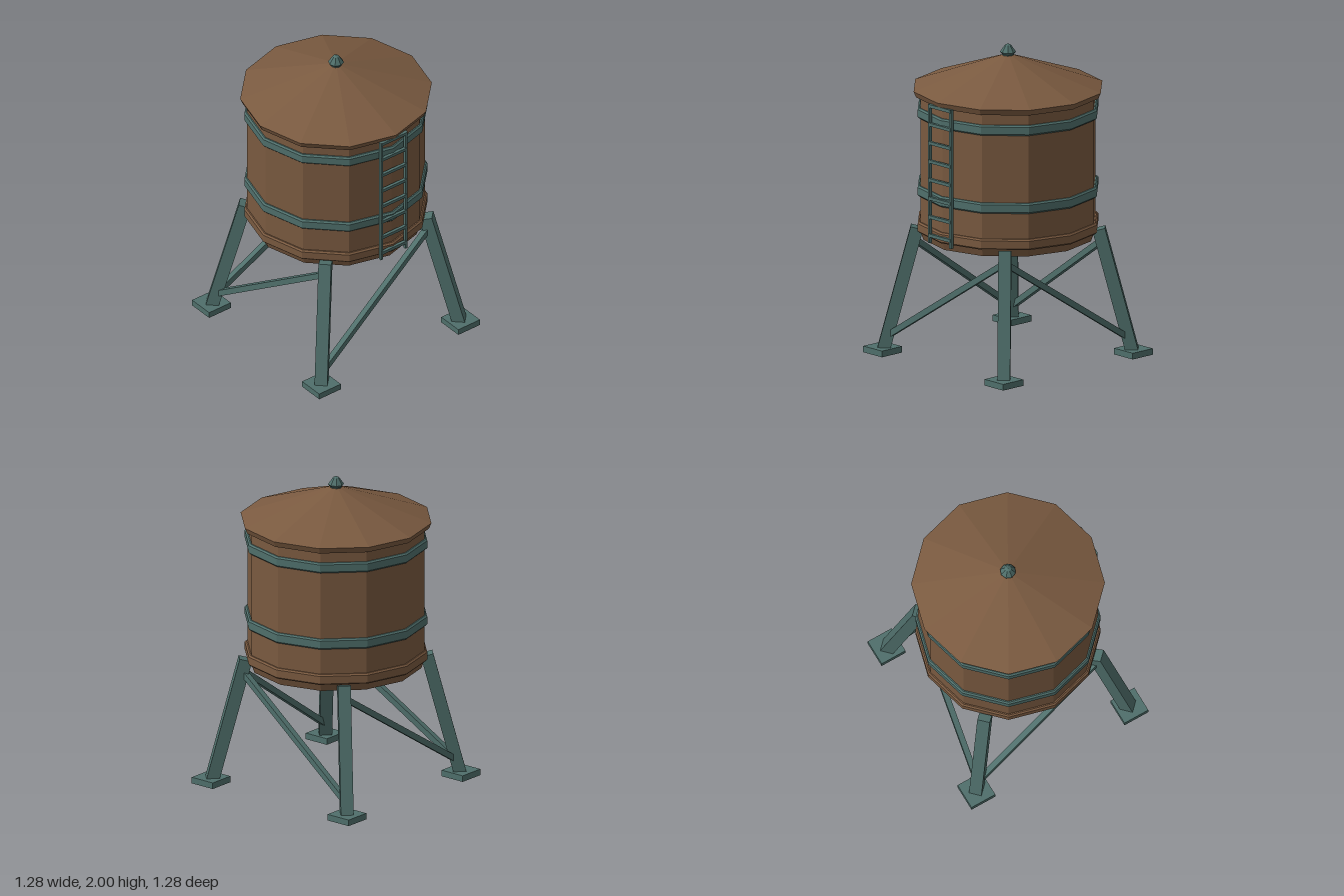
import * as THREE from 'three';

const wood = new THREE.MeshStandardMaterial({ color: 0x7a5a40, flatShading: true });
wood.name = 'brown wood';
const steel = new THREE.MeshStandardMaterial({ color: 0x4f6f6b, flatShading: true });
steel.name = 'teal steel';

const SIDES = 12;

function add(parent, name, geometry, material) {
  const mesh = new THREE.Mesh(geometry, material);
  mesh.name = name;
  parent.add(mesh);
  return mesh;
}

// faceted solid of revolution from [radius, height] pairs, bottom to top
function turned(parent, name, profile, material, sides = SIDES) {
  const points = profile.map(([r, y]) => new THREE.Vector2(r, y));
  return add(parent, name, new THREE.LatheGeometry(points, sides), material);
}

// chamfered ring around the tank
function hoop(parent, name, y0, y1, material) {
  const r = 0.578, c = 0.01;
  turned(parent, name, [[0.545, y0], [r - c, y0], [r, y0 + c], [r, y1 - c], [r - c, y1], [0.545, y1]], material);
}

// square bar between two points, one pair of sides kept vertical
function beam(parent, name, from, to, size, material) {
  const bar = add(parent, name, new THREE.BoxGeometry(size, size, from.distanceTo(to)), material);
  bar.position.copy(from).add(to).multiplyScalar(0.5);
  bar.lookAt(to);
  return bar;
}

// point on the centre line of the leg in corner (sx, sz)
function legPoint(sx, sz, y) {
  const d = 0.553 - 0.187 * y;
  return new THREE.Vector3(sx * d, y, sz * d);
}

export function createModel() {
  const model = new THREE.Group();
  model.name = 'waterTower';

  // tank and roof
  turned(model, 'tank', [[0, 0.765], [0.54, 0.765], [0.557, 0.81], [0.56, 0.83], [0.56, 1.7]], wood);
  hoop(model, 'baseRim', 0.813, 0.882, wood);
  hoop(model, 'lowerBand', 1.047, 1.115, steel);
  hoop(model, 'upperBand', 1.55, 1.617, steel);
  turned(model, 'roof', [[0, 1.687], [0.588, 1.687], [0.604, 1.724], [0.03, 1.928], [0, 1.93]], wood);
  turned(model, 'finial',
    [[0, 1.9], [0.036, 1.9], [0.036, 1.932], [0.05, 1.947], [0.02, 1.99], [0, 2]], steel, 8);

  // splayed legs on square feet
  for (const sx of [-1, 1]) {
    for (const sz of [-1, 1]) {
      beam(model, 'leg', legPoint(sx, sz, 0.012), legPoint(sx, sz, 0.812), 0.08, steel);
      const foot = add(model, 'foot', new THREE.BoxGeometry(0.172, 0.04, 0.172), steel);
      foot.position.set(sx * 0.553, 0.02, sz * 0.553);
    }
  }

  // one diagonal brace on each side: low corner to high corner
  const braces = [
    [[-1, 1], [1, 1]],
    [[-1, -1], [1, -1]],
    [[1, 1], [1, -1]],
    [[-1, 1], [-1, -1]],
  ];
  for (const [low, high] of braces) {
    beam(model, 'brace', legPoint(...low, 0.107), legPoint(...high, 0.735), 0.037, steel);
  }

  // ladder on the left side
  const ladder = new THREE.Group();
  ladder.name = 'ladder';
  model.add(ladder);
  for (const s of [-1, 1]) {
    const rail = add(ladder, 'ladderRail', new THREE.BoxGeometry(0.018, 0.895, 0.018), steel);
    rail.position.set(0.576, 1.2475, s * 0.098);
  }
  for (let i = 0; i < 8; i++) {
    const rung = add(ladder, 'ladderRung', new THREE.BoxGeometry(0.02, 0.02, 0.2), steel);
    rung.position.set(0.58, 0.85 + i * 0.1193, 0);
  }

  return model;
}
